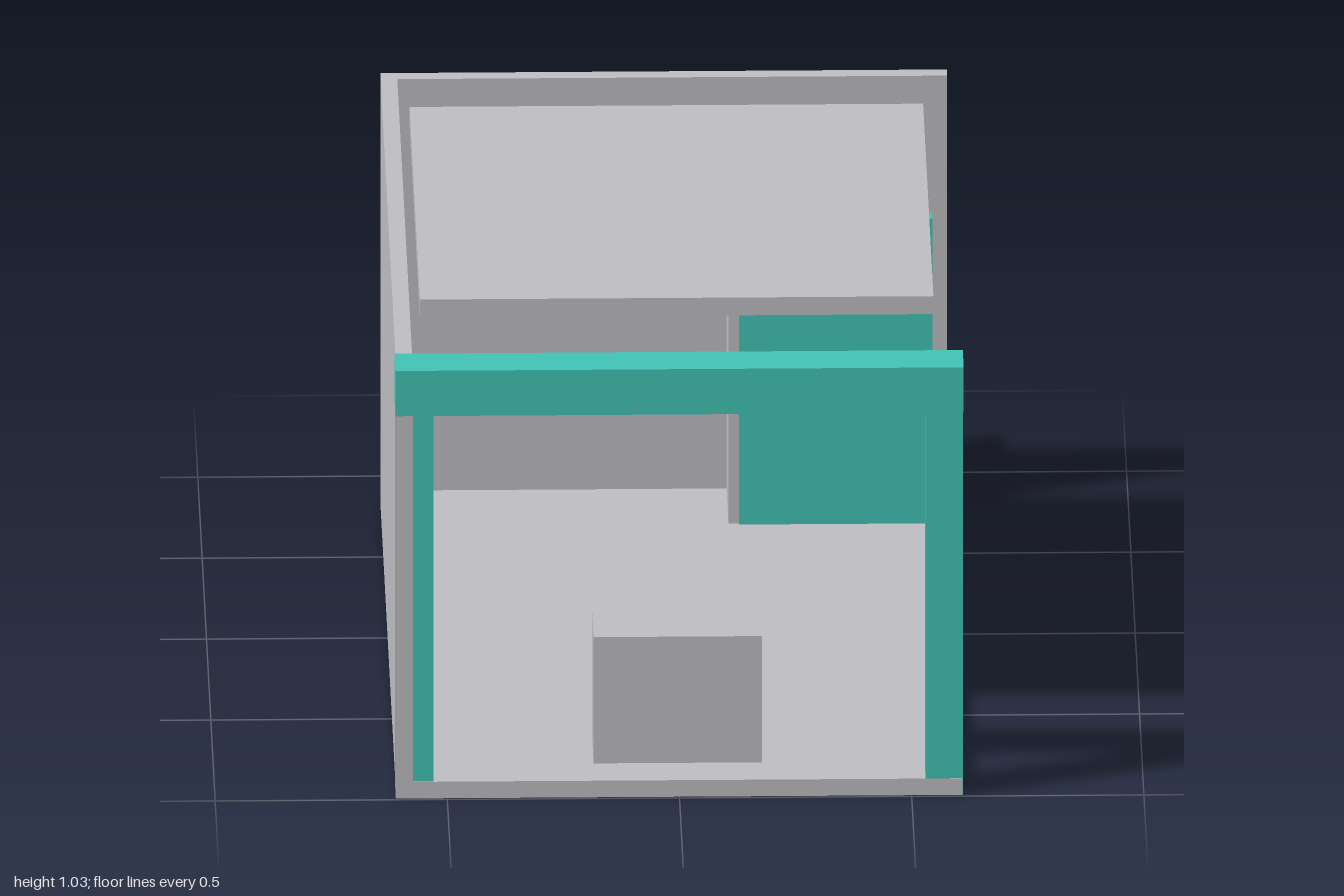
import * as THREE from 'three';

export function createModel() {
  const group = new THREE.Group();
  const grey = new THREE.MeshStandardMaterial({ color: 0xbcbcc1 });
  grey.name = 'light grey';
  const teal = new THREE.MeshStandardMaterial({ color: 0x41c2b3 });
  teal.name = 'teal';

  // Box given by its [min, max] range on each axis
  function slab(name, material, [x0, x1], [y0, y1], [z0, z1]) {
    const mesh = new THREE.Mesh(new THREE.BoxGeometry(x1 - x0, y1 - y0, z1 - z0), material);
    mesh.position.set((x0 + x1) / 2, (y0 + y1) / 2, (z0 + z1) / 2);
    mesh.name = name;
    group.add(mesh);
  }

  // Room shell: floor, closed side, back and raised roof panel
  slab('floor', grey, [-0.61, 0.61], [0, 0.038], [-0.843, 0.995]);
  slab('sideWall', grey, [-0.61, -0.574], [0.038, 0.983], [-0.805, 0.995]);
  slab('backWall', grey, [-0.61, 0.61], [0.038, 0.983], [-0.843, -0.805]);
  slab('roofPanel', grey, [-0.553, 0.553], [0.984, 1.025], [-0.52, 0.67]);

  // Front frame: two posts, a hair proud of the sides, and a beam across them
  for (const [name, x] of [['rightPost', [-0.611, -0.53]], ['leftPost', [0.53, 0.611]]]) {
    slab(name, teal, x, [0.001, 0.88], [0.9, 0.994]);
  }
  slab('frontBeam', teal, [-0.612, 0.612], [0.88, 0.984], [0.893, 1]);

  // Inner partition running out through the back wall, with a door panel
  slab('partition', grey, [0.135, 0.163], [0, 0.737], [-1, -0.587]);
  slab('doorPanel', teal, [0.158, 0.574], [-0.001, 0.738], [-0.613, -0.581]);

  // Counter block by the entrance
  slab('counter', grey, [-0.183, 0.18], [0.038, 0.328], [0.705, 0.888]);

  return group;
}
